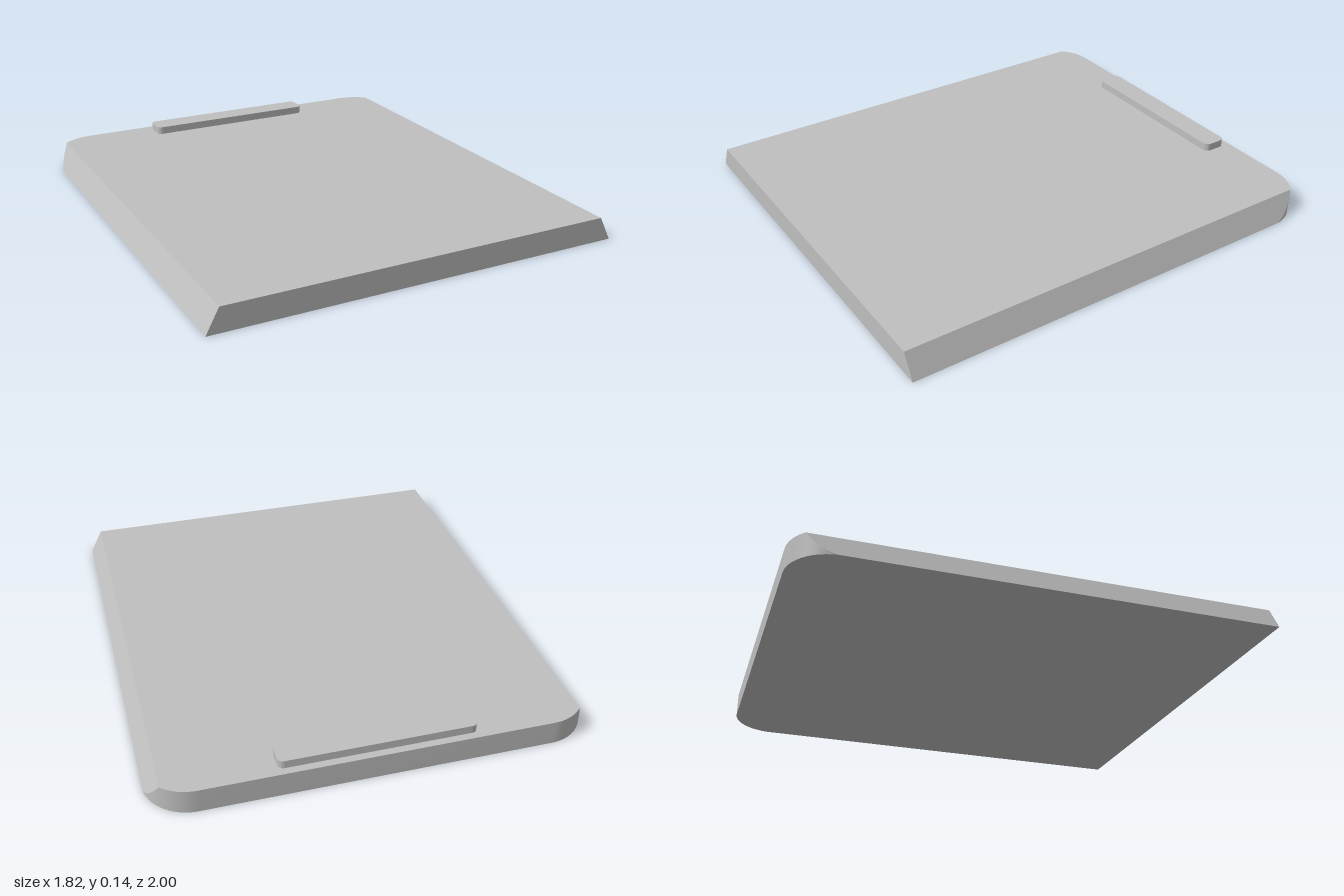
import * as THREE from 'three';
import { toCreasedNormals } from 'three/addons/utils/BufferGeometryUtils.js';

const H = 0.105, BOTTOM = 0.91, TOP = 0.855, R = 0.19, BACK = -1, FRONT = 1;
const CX = BOTTOM - R, CZ = BACK + R;

// Cross-section at z: bevelled sides, trimmed vertically to half width w
function section(w, z) {
  const knee = Math.min(H, H * (BOTTOM - w) / (BOTTOM - TOP));
  const t = Math.min(TOP, w);
  return [[w, 0], [w, knee], [t, H], [-t, H], [-w, knee], [-w, 0]]
    .map(([x, y]) => new THREE.Vector3(x, y, z));
}

function plateGeometry() {
  // Stations: straight run, then round the back corners
  const rings = [section(BOTTOM, FRONT)];
  const meet = Math.acos((TOP - CX) / R);
  const N = 9;
  for (let i = 0; i <= 2 * N; i++) {
    const a = i <= N ? meet * i / N : meet + (Math.PI / 2 - meet) * (i - N) / N;
    rings.push(section(CX + R * Math.cos(a), CZ - R * Math.sin(a)));
  }
  const pos = [];
  const tri = (a, b, c) => {
    if (new THREE.Triangle(a, b, c).getArea() < 1e-8) return;
    for (const p of [a, b, c]) pos.push(p.x, p.y, p.z);
  };
  for (let s = 0; s < rings.length - 1; s++) {
    const A = rings[s], B = rings[s + 1];
    for (let i = 0; i < 6; i++) {
      const j = (i + 1) % 6;
      tri(A[i], B[i], B[j]);
      tri(A[i], B[j], A[j]);
    }
  }
  // End caps
  const f = rings[0], b = rings[rings.length - 1];
  for (let k = 1; k < 5; k++) {
    tri(f[0], f[k], f[k + 1]);
    tri(b[0], b[k + 1], b[k]);
  }
  const g = new THREE.BufferGeometry();
  g.setAttribute('position', new THREE.Float32BufferAttribute(pos, 3));
  return toCreasedNormals(g, 0.25);
}

// Low bar with rounded vertical corners
function barGeometry(w, d, h, r) {
  const s = new THREE.Shape();
  const x = w / 2 - r, y = d / 2 - r;
  s.absarc(x, y, r, 0, Math.PI / 2);
  s.absarc(-x, y, r, Math.PI / 2, Math.PI);
  s.absarc(-x, -y, r, Math.PI, Math.PI * 1.5);
  s.absarc(x, -y, r, Math.PI * 1.5, Math.PI * 2);
  const g = new THREE.ExtrudeGeometry(s, { depth: h, bevelEnabled: false, curveSegments: 8 });
  g.rotateX(-Math.PI / 2);
  return toCreasedNormals(g, 0.5);
}

export function createModel() {
  const grey = new THREE.MeshStandardMaterial({ color: 0xbfbfbf });
  grey.name = 'grey';
  const group = new THREE.Group();
  group.name = 'slidingPlate';

  const plate = new THREE.Mesh(plateGeometry(), grey);
  plate.name = 'plate';

  const bar = new THREE.Mesh(barGeometry(0.81, 0.108, 0.035, 0.025), grey);
  bar.name = 'gripBar';
  bar.position.set(0, H, -0.914);

  group.add(plate, bar);
  return group;
}
